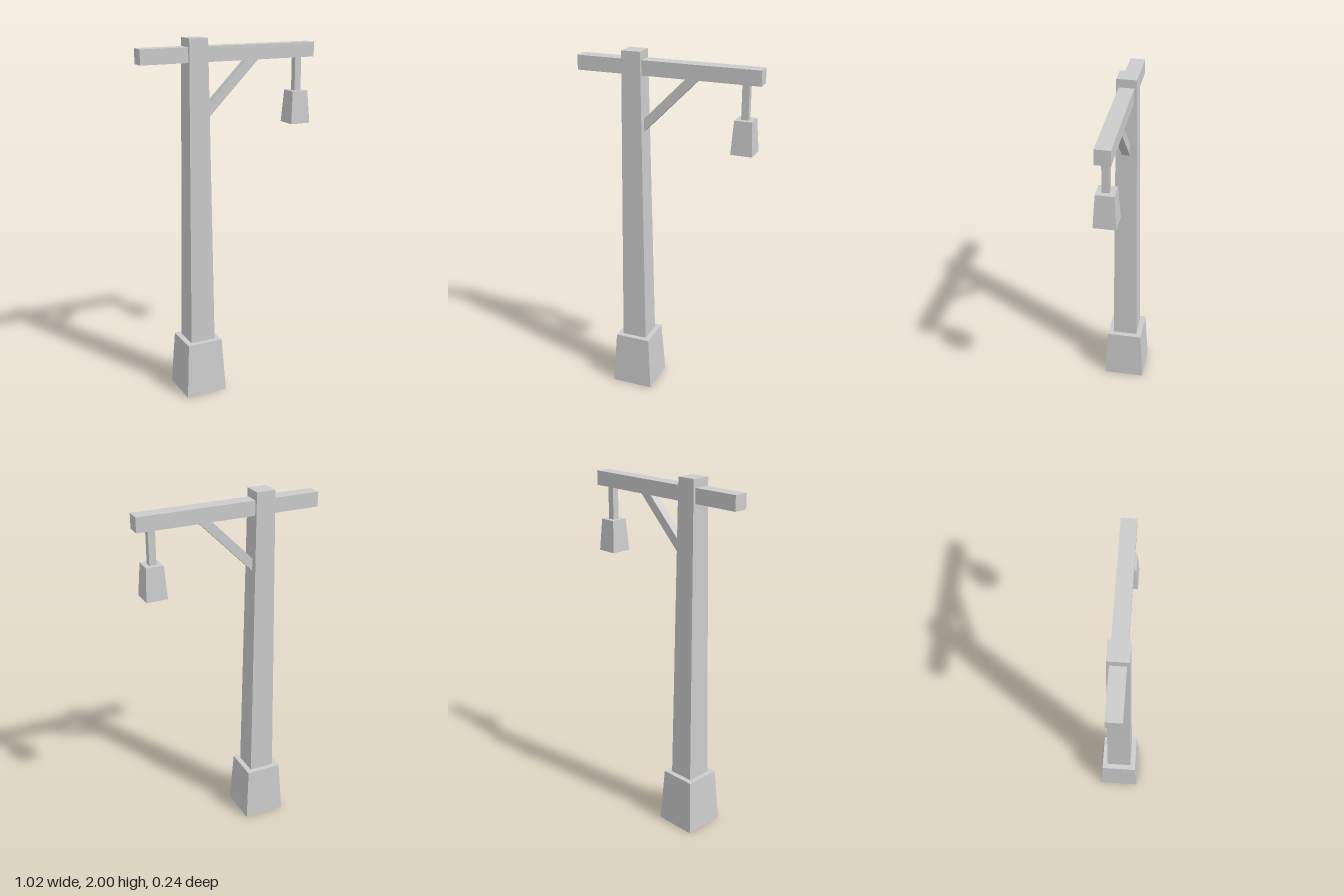
import * as THREE from 'three';

const material = new THREE.MeshStandardMaterial({ color: 0xcccccc, flatShading: true });

// Square block that narrows from half-width h0 at y0 to h1 at y1
function taperedBlock(name, x, y0, y1, h0, h1) {
  const geometry = new THREE.BoxGeometry(2, y1 - y0, 2);
  const p = geometry.attributes.position;
  for (let i = 0; i < p.count; i++) {
    const h = p.getY(i) < 0 ? h0 : h1;
    p.setX(i, p.getX(i) * h);
    p.setZ(i, p.getZ(i) * h);
  }
  geometry.computeVertexNormals();
  const mesh = new THREE.Mesh(geometry, material);
  mesh.name = name;
  mesh.position.set(x, (y0 + y1) / 2, 0);
  return mesh;
}

export function createModel() {
  const model = new THREE.Group();
  model.name = 'lampPost';
  const postX = -0.194, lampX = 0.422;

  // Footing, post, hanging rod and lantern
  model.add(
    taperedBlock('base', postX, 0, 0.31, 0.12, 0.102),
    taperedBlock('post', postX, 0.31, 2, 0.072, 0.053),
    taperedBlock('hanger', lampX, 1.69, 1.875, 0.019, 0.019),
    taperedBlock('lantern', lampX, 1.51, 1.69, 0.059, 0.047)
  );

  // Crossbeam through the post
  const beam = new THREE.Mesh(new THREE.BoxGeometry(1.02, 0.08, 0.08), material);
  beam.name = 'crossbeam';
  beam.position.set(-0.002, 1.915, 0);
  model.add(beam);

  // Diagonal brace, its ends let into the post and beam
  const outline = new THREE.Shape([
    new THREE.Vector2(-0.15, 1.554),
    new THREE.Vector2(0.18, 1.884),
    new THREE.Vector2(0.11, 1.884),
    new THREE.Vector2(-0.15, 1.624)
  ]);
  const braceGeometry = new THREE.ExtrudeGeometry(outline, { depth: 0.044, bevelEnabled: false });
  const brace = new THREE.Mesh(braceGeometry.translate(0, 0, -0.022), material);
  brace.name = 'brace';
  model.add(brace);

  return model;
}
